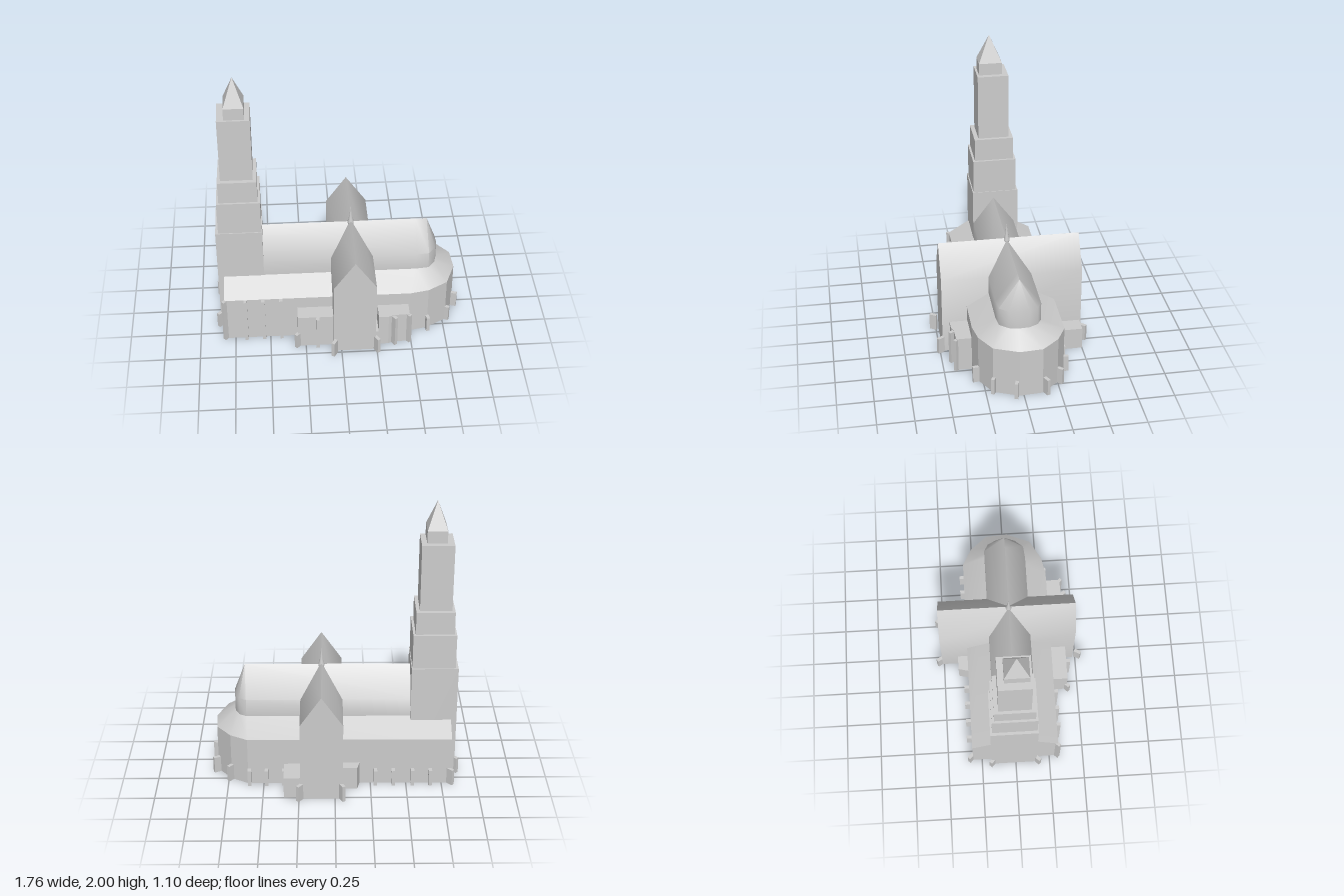
import * as THREE from 'three';
import { toCreasedNormals } from 'three/addons/utils/BufferGeometryUtils.js';

const material = new THREE.MeshStandardMaterial({ color: 0xcccccc });

export function createModel() {
  const model = new THREE.Group();

  function add(name, geometry) {
    const mesh = new THREE.Mesh(geometry, material);
    mesh.name = name;
    model.add(mesh);
    return mesh;
  }

  function box(name, x0, x1, y0, y1, z0, z1) {
    add(name, new THREE.BoxGeometry(x1 - x0, y1 - y0, z1 - z0))
      .position.set((x0 + x1) / 2, (y0 + y1) / 2, (z0 + z1) / 2);
  }

  // Vertical prism over a plan outline of [x, z] points
  function prism(name, plan, height) {
    const shape = new THREE.Shape(plan.map(([x, z]) => new THREE.Vector2(x, -z)));
    const geometry = new THREE.ExtrudeGeometry(shape, { depth: height, bevelEnabled: false });
    add(name, geometry.rotateX(-Math.PI / 2));
  }

  // Skin between closed rings of [x, y, z] points, listed from bottom to top
  function loft(name, rings) {
    const positions = [];
    for (let r = 0; r < rings.length - 1; r++) {
      const low = rings[r], high = rings[r + 1];
      for (let i = 0; i < low.length; i++) {
        const j = (i + 1) % low.length;
        positions.push(...low[i], ...high[i], ...high[j], ...low[i], ...high[j], ...low[j]);
      }
    }
    const geometry = new THREE.BufferGeometry();
    geometry.setAttribute('position', new THREE.Float32BufferAttribute(positions, 3));
    add(name, toCreasedNormals(geometry, 0.8));
  }

  // Aisles with the polygonal ambulatory, under a lean-to roof
  const outer = [[-0.815, -0.315], [0.61, -0.315], [0.73, -0.25], [0.83, -0.13], [0.84, 0.03],
    [0.77, 0.2], [0.63, 0.28], [0.5, 0.305], [-0.815, 0.305]];
  const inner = [[-0.815, -0.15], [0.62, -0.15], [0.67, -0.12], [0.7, -0.06], [0.705, 0.02],
    [0.69, 0.08], [0.64, 0.14], [0.55, 0.15], [-0.815, 0.15]];
  const atHeight = (plan, y) => plan.map(([x, z]) => [x, y, z]);
  prism('aisleWalls', outer, 0.355);
  loft('aisleRoof', [atHeight(outer, 0.355), atHeight(inner, 0.45)]);

  // Nave and rounded apse: upper wall, then a roof closing on the ridge
  const nave = inner.map(([x, z]) => [Math.max(x, -0.6), z]);
  const ridge = nave.map(([x]) => [Math.min(x, 0.63), 0.785, 0]);
  loft('nave', [atHeight(nave, 0.44), atHeight(nave, 0.58), ridge]);

  // Transept with a gable at each end
  const gable = new THREE.Shape([[-0.055, 0], [0.24, 0], [0.24, 0.58], [0.0925, 0.795], [-0.055, 0.58]]
    .map(([x, y]) => new THREE.Vector2(x, y)));
  const transept = new THREE.ExtrudeGeometry(gable, { depth: 0.99, bevelEnabled: false });
  add('transept', toCreasedNormals(transept.translate(0, 0, -0.51), 0.8));

  // Small spire over the crossing
  const spire = [[0, 0.74], [0.022, 0.765], [0.022, 0.785], [0.012, 0.82], [0, 0.915]];
  add('crossingSpire', new THREE.LatheGeometry(spire.map(([r, y]) => new THREE.Vector2(r, y)), 10))
    .position.set(0.092, 0, 0);

  // Stepped tower: x0, x1, y0, y1, z0, z1 for each stage
  [
    [-0.853, -0.53, 0, 0.835, -0.18, 0.152],
    [-0.833, -0.535, 0.835, 1.085, -0.167, 0.145],
    [-0.817, -0.552, 1.085, 1.25, -0.15, 0.13],
    [-0.797, -0.577, 1.25, 1.725, -0.12, 0.1],
    [-0.75, -0.614, 1.725, 1.81, -0.078, 0.085],
  ].forEach((stage, i) => box('towerStage' + (i + 1), ...stage));
  const cap = new THREE.ConeGeometry(Math.SQRT1_2, 0.19, 4, 1).rotateY(Math.PI / 4).toNonIndexed();
  cap.scale(0.136, 1, 0.163);
  cap.computeVertexNormals();
  add('towerCap', cap).position.set(-0.682, 1.905, 0.003);

  // Chapels and porches beside the transept
  prism('frontRightChapel', [[-0.305, 0.29], [-0.305, 0.415], [-0.05, 0.415], [-0.05, 0.29]], 0.265);
  prism('frontLeftChapel', [[0.265, 0.29], [0.265, 0.43], [0.335, 0.43], [0.37, 0.415], [0.485, 0.41], [0.485, 0.29]], 0.255);
  box('frontLeftLink', 0.235, 0.27, 0, 0.12, 0.29, 0.43);
  box('backLeftChapel', 0.23, 0.355, 0, 0.16, -0.5, -0.3);
  prism('backRightPorch', [[-0.175, -0.31], [-0.155, -0.39], [-0.05, -0.39], [-0.05, -0.31]], 0.17);

  // Buttresses: x, z, outward angle in degrees from +z, height
  const buttresses = [
    // apse
    [0.6, -0.325, 180, 0.12], [0.735, -0.265, 138, 0.12], [0.84, -0.155, 118, 0.12],
    [0.85, 0.05, 73, 0.12], [0.775, 0.195, 62, 0.12], [0.63, 0.295, 8, 0.12],
    // transept corners
    [-0.052, 0.515, -30, 0.12], [0.25, 0.495, 30, 0.12], [-0.05, -0.527, 210, 0.12], [0.245, -0.527, 140, 0.12],
    // tower and west corners
    [-0.855, 0.16, -45, 0.12], [-0.855, -0.17, 225, 0.12], [-0.812, -0.328, 225, 0.12], [-0.812, 0.3, -45, 0.352],
    // chapels
    [-0.305, 0.415, -45, 0.12], [-0.165, 0.42, 0, 0.262], [0.375, 0.425, 35, 0.25], [0.475, 0.405, 45, 0.25],
    // back aisle, east end
    [0.36, -0.325, 180, 0.12], [0.48, -0.325, 180, 0.12],
  ];
  for (const x of [-0.67, -0.545, -0.41, -0.285]) buttresses.push([x, -0.33, 180, 0.12]);
  for (const x of [-0.67, -0.545, -0.42]) buttresses.push([x, 0.307, 0, 0.352]);
  for (const [x, z, angle, height] of buttresses) {
    const buttress = add('buttress', new THREE.BoxGeometry(0.024, height, 0.05));
    buttress.position.set(x, height / 2, z);
    buttress.rotation.y = THREE.MathUtils.degToRad(angle);
  }

  return model;
}
